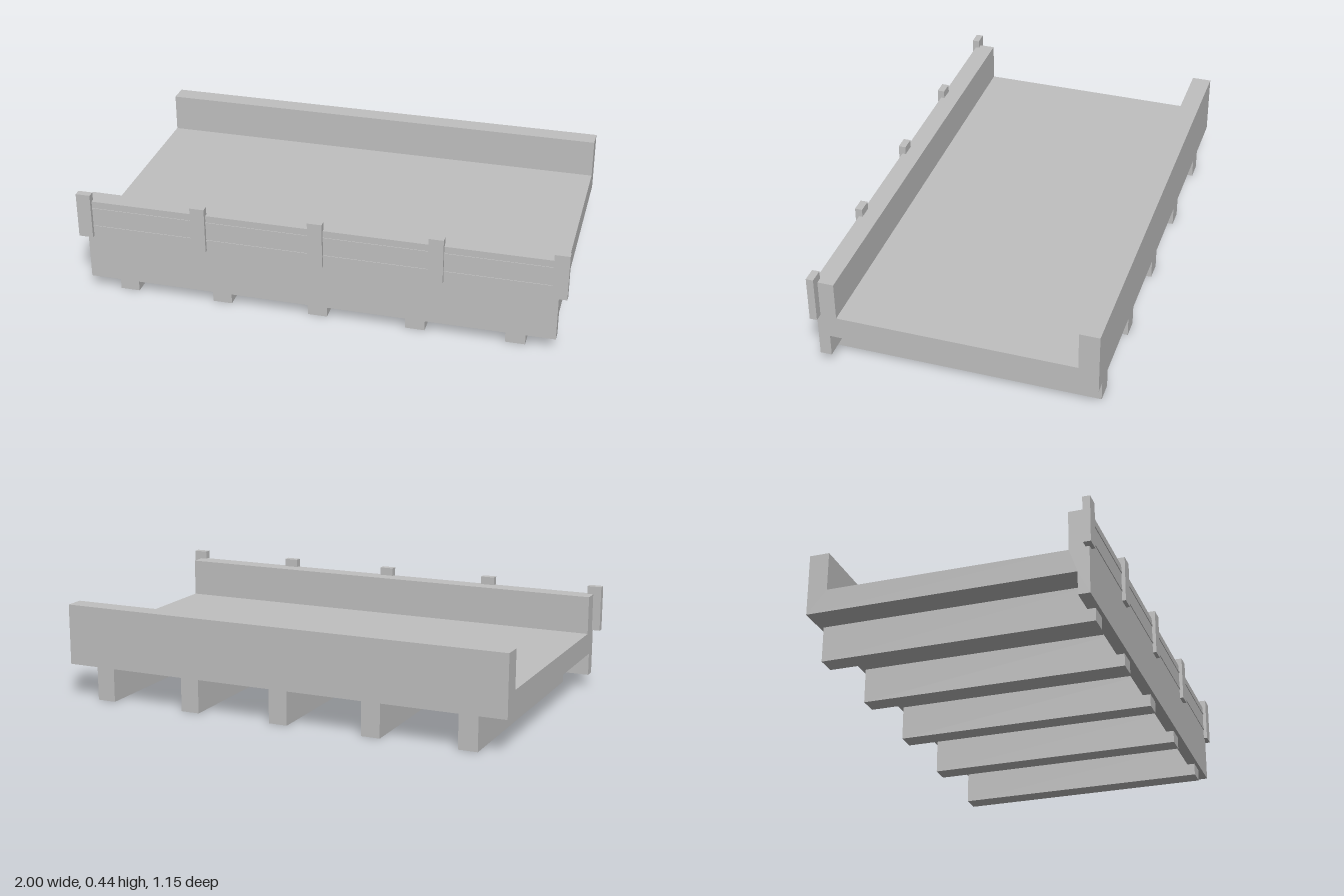
import * as THREE from 'three';

export function createModel() {
  const model = new THREE.Group();
  model.name = 'bridgeDeck';
  const concrete = new THREE.MeshStandardMaterial({ color: 0xc0c0c0 });
  concrete.name = 'concrete grey';

  // Box given by its minimum and maximum corners
  function box(name, [x0, y0, z0], [x1, y1, z1]) {
    const geometry = new THREE.BoxGeometry(x1 - x0, y1 - y0, z1 - z0);
    const mesh = new THREE.Mesh(geometry, concrete);
    mesh.position.set((x0 + x1) / 2, (y0 + y1) / 2, (z0 + z1) / 2);
    mesh.name = name;
    model.add(mesh);
  }

  // Deck slab with both parapets and the hanging front lip: a (z, y) profile swept along x
  const profile = new THREE.Shape([
    [0.558, 0.052], [0.558, 0.403], [0.478, 0.403], [0.478, 0.242],
    [-0.492, 0.242], [-0.492, 0.403], [-0.573, 0.403], [-0.573, 0.147],
    [0.511, 0.147], [0.511, 0.052],
  ].map(([z, y]) => new THREE.Vector2(z, y)));
  const length = 1.932;
  const deckGeometry = new THREE.ExtrudeGeometry(profile, { depth: length, bevelEnabled: false });
  deckGeometry.translate(0, 0, -length / 2).rotateY(-Math.PI / 2);
  const deck = new THREE.Mesh(deckGeometry, concrete);
  deck.name = 'deckWithParapets';
  model.add(deck);

  for (let i = -2; i <= 2; i++) {
    // Beams under the deck
    const beamX = i * 0.403;
    box('beam', [beamX - 0.04, 0, -0.556], [beamX + 0.04, 0.147, 0.543]);

    // Railing posts on the outside of the front parapet
    const postX = i * 0.485;
    box('railingPost', [postX - 0.03, 0.245, 0.543], [postX + 0.03, 0.437, 0.573]);
  }

  // Thin rails running between the posts
  for (const y of [0.29, 0.37]) {
    box('rail', [-0.965, y - 0.004, 0.553], [0.965, y + 0.004, 0.561]);
  }

  return model;
}
